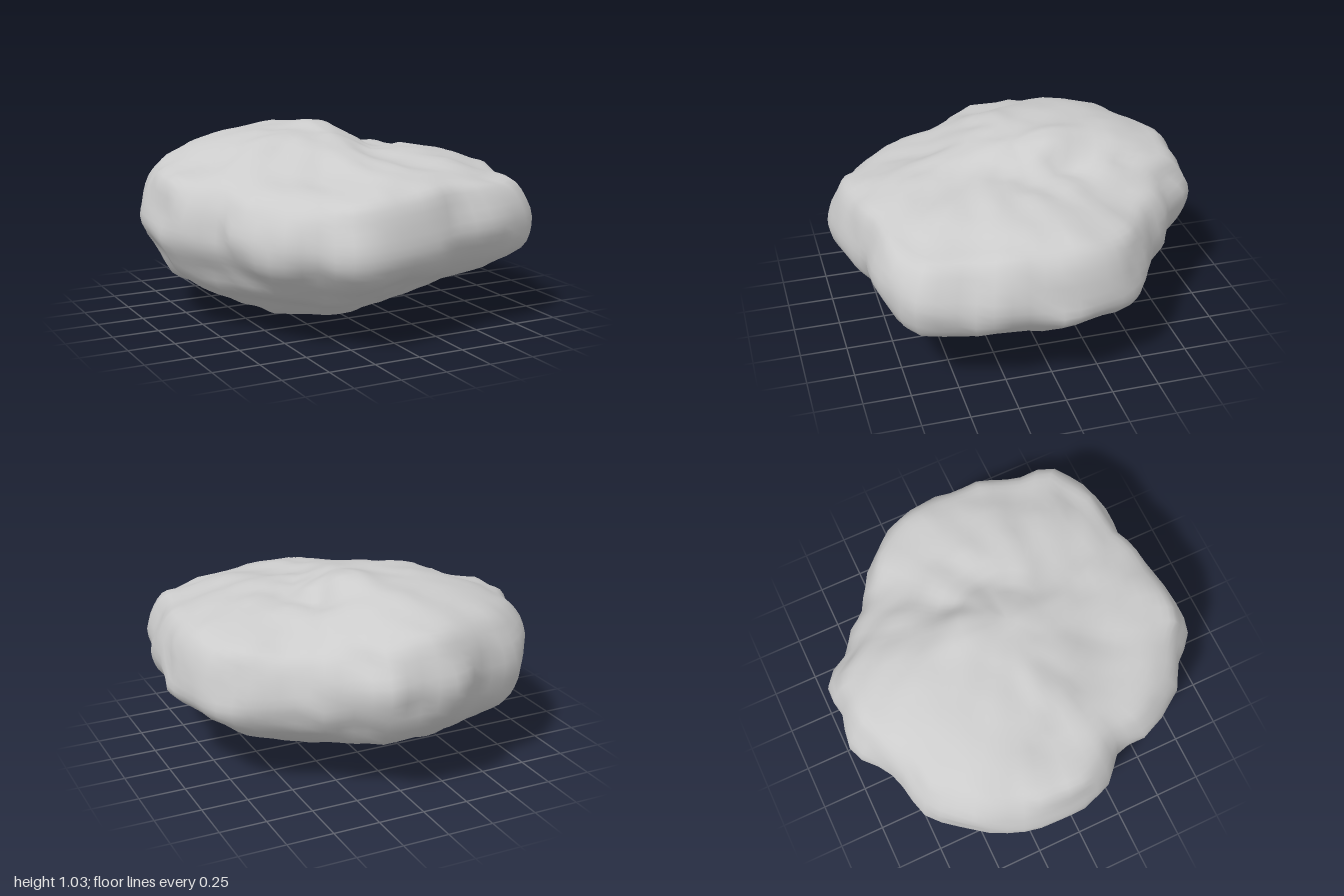
import * as THREE from 'three';

const { lerp, smoothstep } = THREE.MathUtils;

// Plan outline: radius every 10 degrees, from +x towards +z
const OUTLINE = [
  0.99, 0.98, 1.01, 1.03, 1.10, 1.05, 0.98, 0.91, 0.93, 0.95, 0.99, 1.01,
  0.95, 0.96, 0.93, 0.89, 0.84, 0.93, 0.98, 1.00, 1.03, 1.05, 1.03, 1.04,
  0.98, 0.98, 1.00, 0.97, 0.98, 0.87, 0.87, 0.84, 0.88, 0.94, 0.965, 0.975,
];

// Profile from crown to underside: [fraction of outline, heights every 45 degrees]
const PROFILE = [
  [0.00, [0.99]],
  [0.25, [0.93, 0.91, 0.92, 0.94, 0.98, 1.00, 1.01, 0.96]],
  [0.55, [0.89, 0.88, 0.87, 0.84, 0.91, 0.97, 0.99, 0.87]],
  [0.80, [0.83, 0.81, 0.81, 0.77, 0.82, 0.90, 0.91, 0.79]],
  [0.93, [0.76, 0.75, 0.74, 0.69, 0.75, 0.80, 0.83, 0.70]],
  [1.00, [0.52, 0.57, 0.55, 0.54, 0.56, 0.62, 0.64, 0.52]],
  [0.95, [0.40, 0.40, 0.41, 0.39, 0.42, 0.43, 0.46, 0.38]],
  [0.80, [0.29, 0.30, 0.29, 0.27, 0.25, 0.28, 0.30, 0.27]],
  [0.55, [0.17, 0.18, 0.16, 0.16, 0.16, 0.17, 0.18, 0.18]],
  [0.25, [0.05, 0.04, 0.03, 0.03, 0.03, 0.04, 0.04, 0.05]],
  [0.00, [0.015]],
];
const FRACTIONS = PROFILE.map(row => row[0]);

// Catmull-Rom through four neighbours
function cubic(a, b, c, d, t) {
  return b + 0.5 * t * (c - a + t * (2 * a - 5 * b + 4 * c - d + t * (3 * (b - c) + d - a)));
}

// Sample a closed list at turn 0..1
function around(list, turn) {
  const n = list.length, s = turn * n, i = Math.floor(s);
  const at = k => list[(i + k + n) % n];
  return cubic(at(-1), at(0), at(1), at(2), s - i);
}

// Sample an open list at u 0..1; beyond the poles it is mirrored with the given sign
function along(list, u, sign) {
  const last = list.length - 1, s = u * last, i = Math.min(Math.floor(s), last - 1);
  const at = k => {
    if (i + k < 0) return sign * list[1];
    if (i + k > last) return sign * list[last - 1];
    return list[i + k];
  };
  return cubic(at(-1), at(0), at(1), at(2), s - i);
}

// Repeatable value noise, -0.5..0.5
function hash(x, y, z) {
  const h = Math.sin(x * 127.1 + y * 311.7 + z * 74.7) * 43758.5453;
  return h - Math.floor(h) - 0.5;
}

function noise(x, y, z) {
  const i = Math.floor(x), j = Math.floor(y), k = Math.floor(z);
  const u = smoothstep(x - i, 0, 1), v = smoothstep(y - j, 0, 1), w = smoothstep(z - k, 0, 1);
  const edge = (b, c) => lerp(hash(i, j + b, k + c), hash(i + 1, j + b, k + c), u);
  return lerp(lerp(edge(0, 0), edge(1, 0), v), lerp(edge(0, 1), edge(1, 1), v), w);
}

function stonePoint(turn, u) {
  const fraction = along(FRACTIONS, u, -1);
  const y = along(PROFILE.map(row => around(row[1], turn)), u, 1);

  // Notches of the outline fade towards the poles
  const radius = fraction * lerp(0.97, around(OUTLINE, turn), smoothstep(fraction, 0.2, 0.9));
  const angle = turn * Math.PI * 2;
  const p = new THREE.Vector3(Math.cos(angle) * radius, y, Math.sin(angle) * radius);

  // Keel set towards -x
  p.x -= 0.12 * smoothstep(0.4 - y, 0, 0.35);

  // Crease between the crown and the lower shelf at +x
  if (u < 0.4) {
    const across = p.x - 0.3 - 0.45 * (p.z + 0.1);
    p.y -= 0.05 * Math.exp(-((across / 0.09) ** 2) - ((p.z + 0.2) / 0.25) ** 2);
  }

  // Uneven surface
  const bump = 0.05 * noise(p.x * 4.5, p.y * 5, p.z * 4.5)
    + 0.03 * noise(p.x * 9 + 7, p.y * 9, p.z * 9 + 3);
  const outward = new THREE.Vector3(p.x, (p.y - 0.5) * 2.5, p.z).normalize();
  return p.addScaledVector(outward, bump);
}

function stoneGeometry(sides, rows) {
  const points = [stonePoint(0, 0)], index = [];
  for (let r = 1; r < rows; r++) {
    for (let s = 0; s < sides; s++) points.push(stonePoint(s / sides, r / rows));
  }
  const last = points.push(stonePoint(0, 1)) - 1;
  const id = (r, s) => 1 + (r - 1) * sides + (s % sides);
  for (let s = 0; s < sides; s++) {
    index.push(0, id(1, s + 1), id(1, s));
    for (let r = 1; r < rows - 1; r++) {
      const a = id(r, s), b = id(r, s + 1), c = id(r + 1, s), d = id(r + 1, s + 1);
      index.push(a, b, c, b, d, c);
    }
    index.push(last, id(rows - 1, s), id(rows - 1, s + 1));
  }
  const geometry = new THREE.BufferGeometry().setFromPoints(points);
  geometry.setIndex(index);

  // Rest on the ground, centred
  geometry.computeBoundingBox();
  const { min, max } = geometry.boundingBox;
  geometry.translate(-(min.x + max.x) / 2, -min.y, -(min.z + max.z) / 2);
  geometry.computeVertexNormals();
  return geometry;
}

export function createModel() {
  const group = new THREE.Group();
  group.name = 'rock';
  const stone = new THREE.Mesh(
    stoneGeometry(72, 40),
    new THREE.MeshStandardMaterial({ color: 0xcccccc }),
  );
  stone.name = 'boulder';
  group.add(stone);
  return group;
}
